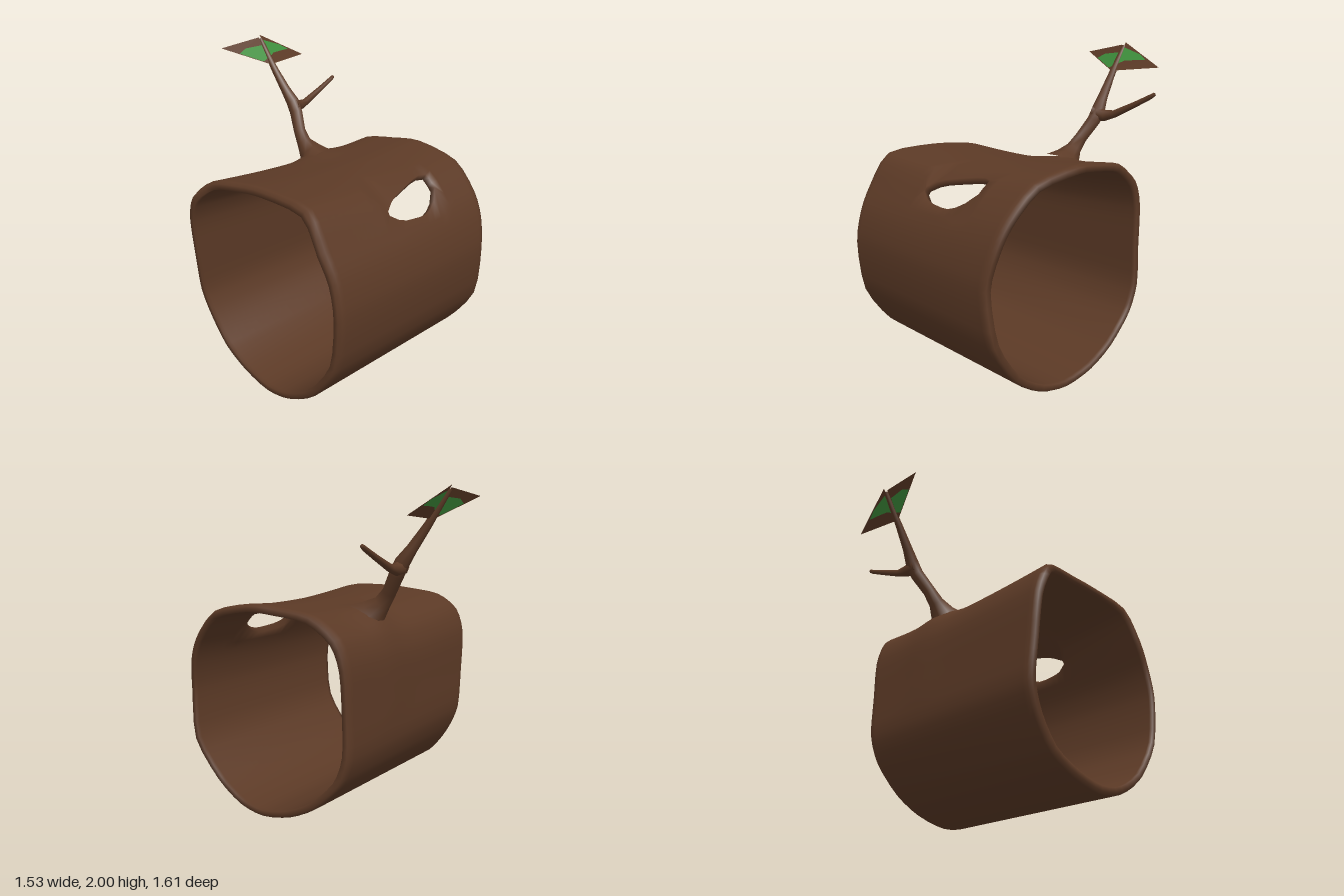
import * as THREE from 'three';

const bark = new THREE.MeshStandardMaterial({ color: 0x5c3a26 });
bark.name = 'bark';
const leafBrown = new THREE.MeshStandardMaterial({ color: 0x5e3b27, side: THREE.DoubleSide });
leafBrown.name = 'leaf brown';
const leafGreen = new THREE.MeshStandardMaterial({ color: 0x3f913d, side: THREE.DoubleSide });
leafGreen.name = 'leaf green';

const V = (x, y, z) => new THREE.Vector3(x, y, z);

function indexed(positions, index) {
  const g = new THREE.BufferGeometry();
  g.setAttribute('position', new THREE.Float32BufferAttribute(positions, 3));
  g.setIndex(index);
  g.computeVertexNormals();
  return g;
}

// Hollow log lying along x: rings run over the outside, round the lip and back inside
function logGeometry() {
  // z, y of the outline, then x of its two ragged ends
  const outline = [
    [0.20, 1.32, -0.68, 0.76], [0, 1.31, -0.69, 0.73], [-0.22, 1.28, -0.72, 0.70],
    [-0.36, 1.18, -0.77, 0.68], [-0.42, 1.02, -0.76, 0.67], [-0.43, 0.75, -0.73, 0.66],
    [-0.43, 0.50, -0.70, 0.66], [-0.36, 0.32, -0.68, 0.66], [-0.21, 0.15, -0.67, 0.67],
    [-0.02, 0.05, -0.67, 0.68], [0.19, 0, -0.67, 0.68], [0.38, 0.03, -0.67, 0.68],
    [0.58, 0.15, -0.67, 0.68], [0.76, 0.40, -0.67, 0.70], [0.80, 0.72, -0.68, 0.68],
    [0.76, 0.93, -0.68, 0.71], [0.68, 1.09, -0.69, 0.73], [0.50, 1.25, -0.68, 0.75],
  ];
  const ring = (pts) => new THREE.CatmullRomCurve3(pts, true, 'catmullrom', 0.4);
  const leftRing = ring(outline.map(([z, y, xl], i) =>
    i === 17 ? V(xl, 1.29, 0.54) : V(xl, y, z < -0.3 ? z + 0.02 : z)));
  const rightRing = ring(outline.map(([z, y, , xr]) =>
    V(xr, y > 1.2 ? y + 0.015 : y, z < -0.3 ? z - 0.025 : z)));

  const rows = outline.length * 3;
  const ts = [0, 0.018];
  for (let i = 1; i < 24; i++) ts.push(i / 24);
  ts.push(0.982, 1);
  const n = ts.length, cols = n * 2;

  // Knot hole: removed cells, with its lower and upper edge per column
  const r0 = 48, r1 = 51, c0 = 11, c1 = 19;
  const low = [1, 0.5, 0.2, 0.1, 0, 0, 0.3, 0.8, 1.6];
  const high = [1.3, 1.8, 2.1, 2.3, 2.5, 2.7, 2.9, 3, 2.8];
  const inHole = (r, c) => r >= r0 && r <= r1 && c >= c0 && c <= c1;

  const positions = [];
  for (let r = 0; r < rows; r++) {
    for (let k = 0; k < cols; k++) {
      const inner = k >= n, c = inner ? cols - 1 - k : k, t = ts[c];
      let row = r;
      if (inHole(r, c)) row = r0 + THREE.MathUtils.lerp(low[c - c0], high[c - c0], (r - r0) / 3);
      const p = leftRing.getPoint(row / rows).lerp(rightRing.getPoint(row / rows), t);
      if (p.y > 0.66) p.y -= 0.035 * Math.sin(Math.PI * t) * (p.y - 0.66) / 0.66;
      // Swelling at the foot of the branch
      if (!inner && p.y > 0.66) {
        const d = ((p.x - 0.19) ** 2 + (p.z + 0.25) ** 2) / 0.02;
        p.y += 0.025 * Math.exp(-d);
        p.z -= 0.025 * Math.exp(-d);
      }
      const s = inner ? 0.93 : (c === 0 || c === n - 1 ? 0.98 : 1);
      positions.push(p.x, 0.66 + (p.y - 0.66) * s, 0.18 + (p.z - 0.18) * s);
    }
  }
  const id = (r, k) => (r % rows) * cols + (k % cols);
  const index = [];
  for (let r = 0; r < rows; r++) {
    for (let k = 0; k < cols; k++) {
      const c = k >= n ? cols - 2 - k : k;
      if (r >= r0 && r < r1 && c >= c0 && c < c1) continue;
      const a = id(r, k), b = id(r, k + 1), d = id(r + 1, k), e = id(r + 1, k + 1);
      index.push(a, b, e, a, e, d);
    }
  }
  // Wall of the knot hole
  const loop = [];
  for (let c = c0; c < c1; c++) loop.push([r0, c]);
  for (let r = r0; r < r1; r++) loop.push([r, c1]);
  for (let c = c1; c > c0; c--) loop.push([r1, c]);
  for (let r = r1; r > r0; r--) loop.push([r, c0]);
  loop.forEach(([r, c], i) => {
    const [q, d] = loop[(i + 1) % loop.length];
    const a = id(r, c), b = id(q, d), a2 = id(r, cols - 1 - c), b2 = id(q, cols - 1 - d);
    index.push(a, b, b2, a, b2, a2);
  });
  return indexed(positions, index);
}

// Tapering limb through [x, y, z, radius] stations, closed at the tip
function limbGeometry(stations, sides = 8) {
  const pts = stations.map(([x, y, z]) => V(x, y, z));
  const positions = [], index = [];
  pts.forEach((p, i) => {
    const dir = pts[Math.min(i + 1, pts.length - 1)].clone().sub(pts[Math.max(i - 1, 0)]).normalize();
    const u = V(0.3, 0, 1).cross(dir).normalize(), w = dir.clone().cross(u);
    for (let s = 0; s < sides; s++) {
      const a = s / sides * Math.PI * 2, rad = stations[i][3];
      const q = p.clone().addScaledVector(u, Math.cos(a) * rad).addScaledVector(w, Math.sin(a) * rad);
      positions.push(q.x, q.y, q.z);
      if (i === 0) continue;
      const m = (s + 1) % sides, lo = (i - 1) * sides, hi = i * sides;
      index.push(lo + s, lo + m, hi + m, lo + s, hi + m, hi + s);
    }
  });
  const tip = pts[pts.length - 1], last = (pts.length - 1) * sides;
  positions.push(tip.x, tip.y, tip.z);
  for (let s = 0; s < sides; s++) index.push(last + s, last + (s + 1) % sides, last + sides);
  return indexed(positions, index);
}

// Flat leaf half: a brown triangle with a green patch set into it
function leafHalf(name, corners, patch) {
  const [a, b, c] = corners.map((p) => V(...p));
  const plane = new THREE.Plane().setFromCoplanarPoints(a, b, c);
  const lay = (shape) => {
    const g = new THREE.ShapeGeometry(shape), p = g.attributes.position;
    for (let i = 0; i < p.count; i++) {
      const { x, y, z } = plane.normal;
      p.setZ(i, -(plane.constant + x * p.getX(i) + y * p.getY(i)) / z);
    }
    g.computeVertexNormals();
    return g;
  };
  const to2 = (list) => list.map(([x, y]) => new THREE.Vector2(x, y));
  const brown = new THREE.Shape(to2(corners));
  brown.holes.push(new THREE.Path(to2(patch)));
  const half = new THREE.Group();
  half.name = name;
  half.add(mesh('leafBlade', lay(brown), leafBrown));
  half.add(mesh('leafPatch', lay(new THREE.Shape(to2(patch))), leafGreen));
  return half;
}

function mesh(name, geometry, material) {
  const m = new THREE.Mesh(geometry, material);
  m.name = name;
  return m;
}

export function createModel() {
  const model = new THREE.Group();
  model.name = 'hollowLog';
  model.add(mesh('log', logGeometry(), bark));

  model.add(mesh('branch', limbGeometry([
    [0.18, 1.215, -0.235, 0.13], [0.18, 1.265, -0.285, 0.085], [0.175, 1.32, -0.345, 0.052],
    [0.185, 1.39, -0.40, 0.042], [0.225, 1.50, -0.475, 0.045], [0.23, 1.57, -0.515, 0.045],
    [0.215, 1.65, -0.57, 0.033], [0.20, 1.78, -0.66, 0.024], [0.19, 1.975, -0.79, 0.014],
  ]), bark));
  model.add(mesh('twig', limbGeometry([
    [0.21, 1.545, -0.495, 0.05], [0.29, 1.535, -0.515, 0.036], [0.36, 1.548, -0.522, 0.024],
    [0.52, 1.617, -0.535, 0.018], [0.63, 1.668, -0.543, 0.015], [0.66, 1.685, -0.545, 0.012],
  ]), bark));

  model.add(leafHalf('leafRightHalf',
    [[-0.14, 1.94, -0.805], [0.19, 1.81, -0.68], [0.175, 1.985, -0.79]],
    [[-0.02, 1.897], [0.14, 1.834], [0.178, 1.85], [0.174, 1.935], [0.04, 1.925]]));
  model.add(leafHalf('leafLeftHalf',
    [[0.19, 1.815, -0.675], [0.535, 1.84, -0.735], [0.195, 2.0, -0.805]],
    [[0.2, 1.855], [0.25, 1.88], [0.33, 1.885], [0.41, 1.888], [0.35, 1.922], [0.2, 1.968]]));
  return model;
}
